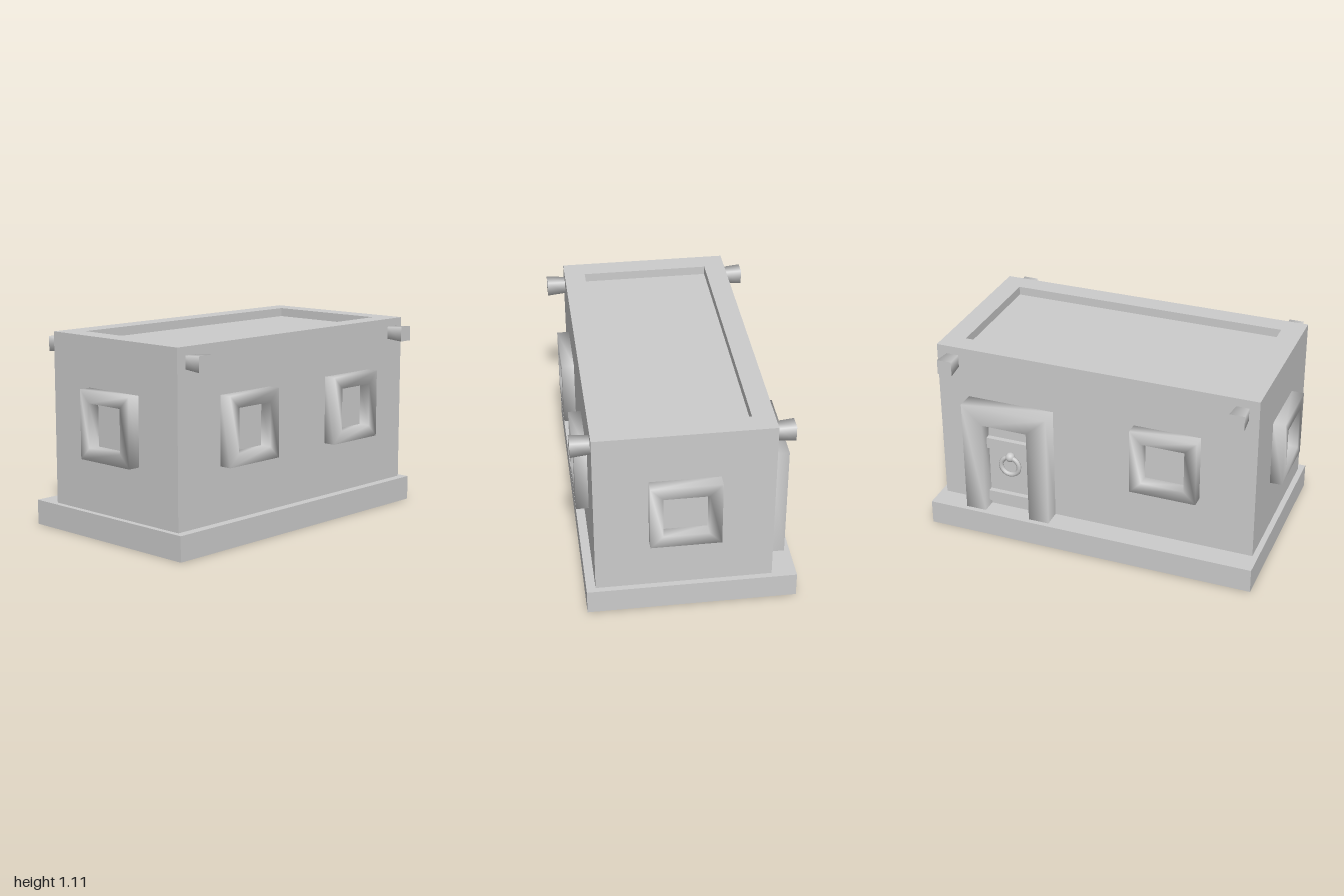
import * as THREE from 'three';

const material = new THREE.MeshStandardMaterial({ color: 0xcccccc });

function add(parent, name, geometry, x = 0, y = 0, z = 0) {
  const mesh = new THREE.Mesh(geometry, material);
  mesh.name = name;
  mesh.position.set(x, y, z);
  parent.add(mesh);
  return mesh;
}

// Mitred, softly shaded frame: matching outer and inner points run counterclockwise
function frameGeometry(outer, inner, depth, closed) {
  const positions = [], index = [], n = outer.length;
  outer.forEach(([ox, oy], i) => {
    const [ix, iy] = inner[i];
    positions.push(ox, oy, 0, ox, oy, depth, ix, iy, depth, ix, iy, 0);
  });
  for (let i = 0; i < (closed ? n : n - 1); i++) {
    const a = i * 4, b = ((i + 1) % n) * 4;
    for (let k = 0; k < 3; k++) {
      index.push(a + k, b + k, b + k + 1, a + k, b + k + 1, a + k + 1);
    }
  }
  const g = new THREE.BufferGeometry();
  g.setAttribute('position', new THREE.Float32BufferAttribute(positions, 3));
  g.setIndex(index);
  g.computeVertexNormals();
  return g;
}

const square = (h) => [[-h, -h], [h, -h], [h, h], [-h, h]];

function rectPath(path, x0, x1, y0, y1) {
  path.moveTo(x0, y0);
  path.lineTo(x1, y0);
  path.lineTo(x1, y1);
  path.lineTo(x0, y1);
  path.closePath();
  return path;
}

export function createModel() {
  const house = new THREE.Group();
  house.name = 'house';
  const cx = 0.0125, wallX = 0.4825, wallZ = 0.93;

  // Plinth and walls
  add(house, 'plinth', new THREE.BoxGeometry(1.15, 0.14, 1.925), -0.03, 0.07, 0);
  add(house, 'walls', new THREE.BoxGeometry(wallX * 2, 0.915, wallZ * 2), cx, 0.5975, 0);

  // Raised rim around the sunken flat roof
  const rim = rectPath(new THREE.Shape(), -wallX, wallX, -wallZ, wallZ);
  rim.holes.push(rectPath(new THREE.Path(), -0.3625, 0.3625, -0.805, 0.81));
  const rimGeometry = new THREE.ExtrudeGeometry(rim, { depth: 0.05, bevelEnabled: false });
  rimGeometry.rotateX(-Math.PI / 2);
  add(house, 'roofRim', rimGeometry, cx, 1.055, 0);

  // Windows: position on the wall and facing angle
  const windowFrame = frameGeometry(square(0.191), square(0.122), 0.07, true);
  const pane = new THREE.PlaneGeometry(0.244, 0.244);
  const side = Math.PI / 2;
  [
    ['frontWindow', cx, wallZ, 0],
    ['backWindow', cx, -wallZ, Math.PI],
    ['leftFrontWindow', cx + wallX, 0.425, side],
    ['leftBackWindow', cx + wallX, -0.425, side],
    ['rightWindow', cx - wallX, 0.425, -side],
  ].forEach(([name, x, z, angle]) => {
    const win = new THREE.Group();
    win.name = name;
    win.position.set(x, 0.634, z);
    win.rotation.y = angle;
    add(win, 'windowFrame', windowFrame);
    add(win, 'windowPane', pane, 0, 0, 0.003);
    house.add(win);
  });

  // Door, modelled facing +z and turned to the right wall
  const door = new THREE.Group();
  door.name = 'door';
  door.position.set(cx - wallX, 0.14, -0.495);
  door.rotation.y = -side;
  add(door, 'doorFrame', frameGeometry(
    [[0.255, 0], [0.255, 0.67], [-0.255, 0.67], [-0.255, 0]],
    [[0.135, 0], [0.135, 0.56], [-0.135, 0.56], [-0.135, 0]], 0.105, false));
  add(door, 'doorPanel', new THREE.BoxGeometry(0.27, 0.56, 0.02), 0, 0.28, 0.01);
  for (const y of [0.07, 0.42]) {
    add(door, 'doorBar', new THREE.BoxGeometry(0.27, 0.065, 0.05), 0, y, 0.025);
  }
  add(door, 'knockerKnob', new THREE.SphereGeometry(0.028, 16, 12), 0, 0.345, 0.035);
  add(door, 'knockerRing', new THREE.TorusGeometry(0.055, 0.014, 8, 20), 0, 0.29, 0.04);
  house.add(door);

  // Flared beam ends near the roof corners
  const beam = new THREE.CylinderGeometry(0.06, 0.05, 0.105, 4);
  beam.rotateY(Math.PI / 4);
  for (const sx of [-1, 1]) {
    for (const sz of [-1, 1]) {
      const end = add(house, 'beamEnd', beam, cx + sx * (wallX + 0.0525), 1.023, sz * 0.837);
      end.rotation.z = -sx * side;
    }
  }
  return house;
}
